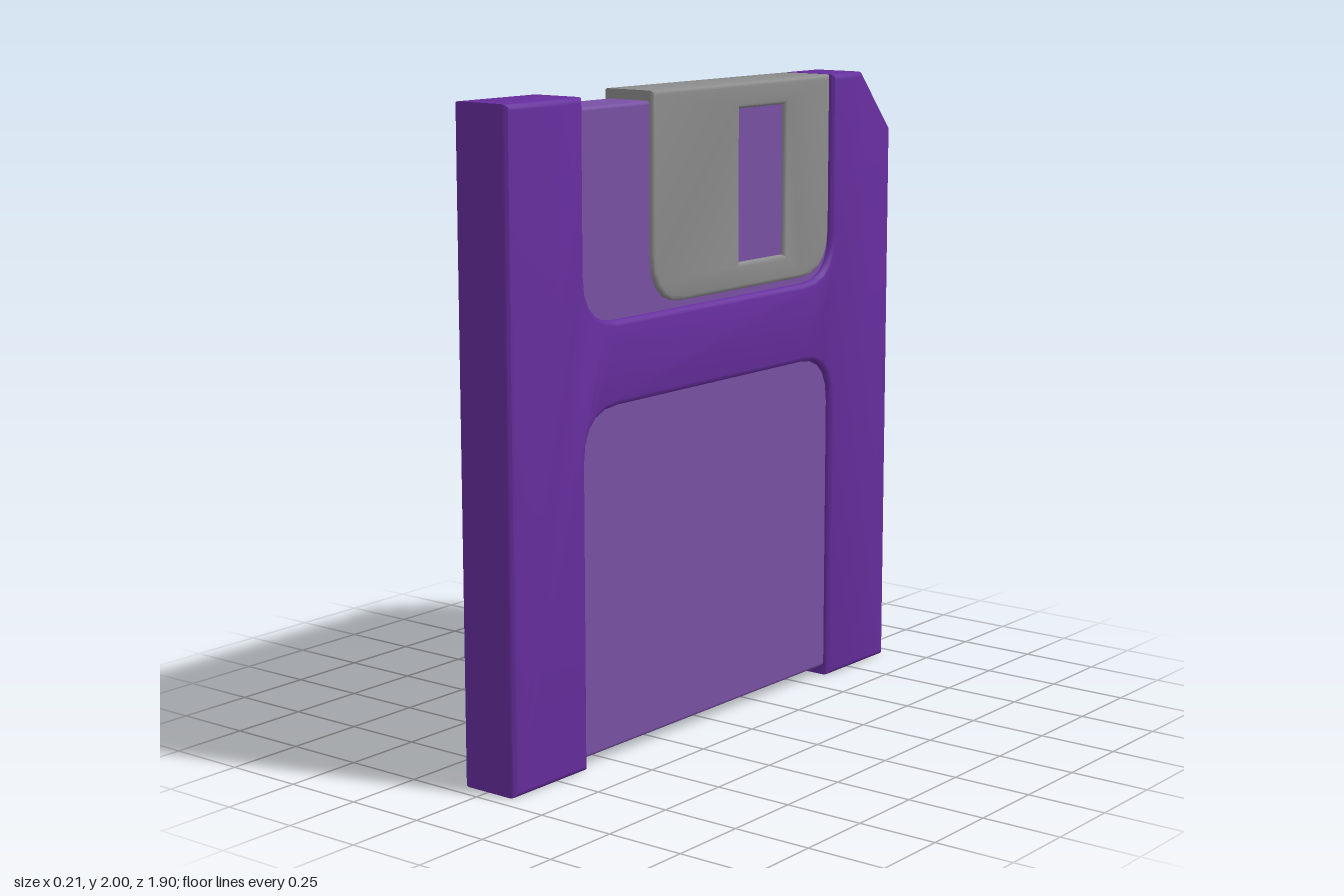
import * as THREE from 'three';
import { toCreasedNormals } from 'three/addons/utils/BufferGeometryUtils.js';
import { RoundedBoxGeometry } from 'three/addons/geometries/RoundedBoxGeometry.js';

const X0 = 0.005;      // middle of the casing thickness
const HALF = 0.1;      // half thickness of the casing
const BEVEL = 0.018;
const SLOT = 0.62;     // half width of the recesses
const R = 0.15;        // recess corner size

const mat = (name, color) => {
  const m = new THREE.MeshStandardMaterial({ color });
  m.name = name;
  return m;
};

// Extrudes a side-on shape (x = -z of the model) along the model's x axis
function extrude(shape, depth, bevel) {
  return new THREE.ExtrudeGeometry(shape, {
    depth, bevelThickness: bevel, bevelSize: bevel, bevelOffset: -bevel,
    bevelSegments: 3, curveSegments: 5,
  });
}

// Casing outline: two pillars joined by a bridge, with a clipped upper corner
function casingShape(labelTop) {
  const s = new THREE.Shape();
  s.moveTo(-0.95, 0);
  s.lineTo(-SLOT, 0);
  s.lineTo(-SLOT, labelTop - R);
  s.quadraticCurveTo(-SLOT, labelTop, -SLOT + R, labelTop);
  s.lineTo(SLOT - R, labelTop);
  s.quadraticCurveTo(SLOT, labelTop, SLOT, labelTop - R);
  s.lineTo(SLOT, 0);
  s.lineTo(0.95, 0);
  s.lineTo(0.95, 1.81);
  s.lineTo(0.785, 2);
  s.lineTo(SLOT, 2);
  s.lineTo(SLOT, 1.34 + R);
  s.quadraticCurveTo(SLOT, 1.34, SLOT - R, 1.34);
  s.lineTo(-SLOT + R, 1.34);
  s.quadraticCurveTo(-SLOT, 1.34, -SLOT, 1.34 + R);
  s.lineTo(-SLOT, 2);
  s.lineTo(-0.95, 2);
  s.closePath();
  return s;
}

// Half of the casing: bevelled on the outer face, flat on the middle plane
function casingHalf(labelTop, toLeft) {
  const shape = casingShape(labelTop);
  const geo = extrude(shape, HALF - BEVEL, BEVEL);
  if (!toLeft) geo.translate(0, 0, -(HALF - BEVEL));
  const p = geo.attributes.position;
  for (let i = 0; i < p.count; i++) {
    const z = p.getZ(i);
    p.setZ(i, toLeft ? Math.max(z, 0) : Math.min(z, 0));
  }
  geo.rotateY(Math.PI / 2);
  return toCreasedNormals(geo, 0.7);
}

// Metal cover with a window through both sides
function shutterGeometry() {
  const a = -0.3, b = 0.61, y0 = 1.36, y1 = 2, depth = 0.188, bevel = 0.014;
  const s = new THREE.Shape();
  s.moveTo(a + R, y0);
  s.lineTo(b - R, y0);
  s.quadraticCurveTo(b, y0, b, y0 + R);
  s.lineTo(b, y1);
  s.lineTo(a, y1);
  s.lineTo(a, y0 + R);
  s.quadraticCurveTo(a, y0, a + R, y0);
  const w = new THREE.Path();
  w.moveTo(0.13, 1.445);
  w.lineTo(0.13, 1.92);
  w.lineTo(0.365, 1.92);
  w.lineTo(0.365, 1.445);
  w.closePath();
  s.holes.push(w);
  const geo = extrude(s, depth - 2 * bevel, bevel);
  geo.translate(0, 0, -(depth / 2 - bevel));
  geo.rotateY(Math.PI / 2);
  return toCreasedNormals(geo, 0.7);
}

export function createModel() {
  const group = new THREE.Group();
  group.name = 'floppyDisk';
  const purple = mat('casing purple', 0x652d9c);
  const lilac = mat('recess lilac', 0x7850a3);
  const metal = mat('metal grey', 0x8c8c8c);

  const add = (name, geo, material, x, y = 0, z = 0) => {
    const m = new THREE.Mesh(geo, material);
    m.name = name;
    m.position.set(x, y, z);
    group.add(m);
  };

  // Casing: tall label recess on one face, short one on the other
  add('casingLabelSide', casingHalf(1.085, true), purple, X0);
  add('casingHubSide', casingHalf(0.4, false), purple, X0);

  // Thinner inner slab that shows in every recess
  add('innerSlab', new RoundedBoxGeometry(0.16, 1.94, 1.27, 2, 0.012), lilac, X0, 1, 0);

  // Sliding cover
  add('shutter', shutterGeometry(), metal, X0);

  // Drive hub, a low disc with a chamfered rim
  const hub = new THREE.LatheGeometry([
    new THREE.Vector2(0.25, -0.02),
    new THREE.Vector2(0.25, 0.004),
    new THREE.Vector2(0.235, 0.01),
    new THREE.Vector2(0, 0.01),
  ], 24);
  hub.rotateZ(Math.PI / 2);
  add('driveHub', toCreasedNormals(hub, 0.4), metal, X0 - HALF, 0.95, 0);

  return group;
}
